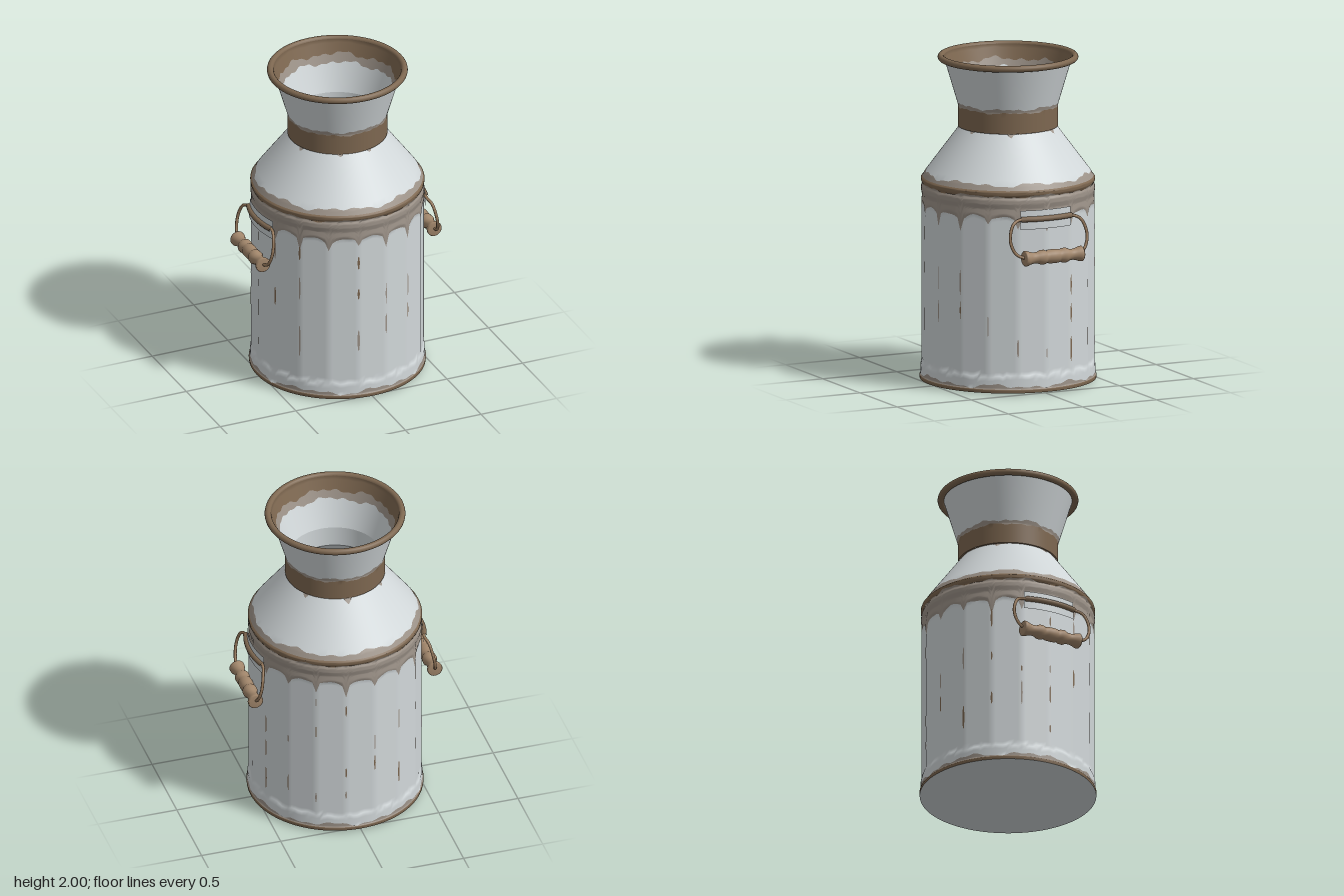
import * as THREE from 'three';
import { mergeGeometries } from 'three/addons/utils/BufferGeometryUtils.js';

const TAU = Math.PI * 2;
const FLUTE = TAU / 18;

function material(name, hex, doubleSided = false) {
  const m = new THREE.MeshStandardMaterial({ color: hex });
  m.name = name;
  if (doubleSided) m.side = THREE.DoubleSide;
  return m;
}

// Radius from a list of [height, radius] points
function profile(points) {
  return (y) => {
    let i = 1;
    while (i < points.length - 1 && y > points[i][0]) i++;
    const [y0, r0] = points[i - 1], [y1, r1] = points[i];
    const t = Math.min(1, Math.max(0, (y - y0) / (y1 - y0)));
    return r0 + (r1 - r0) * t;
  };
}

const outer = profile([
  [0.012, 0.533], [0.03, 0.535], [0.038, 0.528], [0.1, 0.527], [0.125, 0.523], [1.1, 0.523],
  [1.14, 0.518], [1.17, 0.525], [1.195, 0.524], [1.21, 0.516], [1.225, 0.525], [1.243, 0.526],
  [1.252, 0.516], [1.28, 0.5], [1.558, 0.293], [1.56, 0.302], [1.69, 0.302], [1.98, 0.388],
]);
const inner = profile([
  [0.04, 0.505], [1.24, 0.505], [1.55, 0.277], [1.68, 0.277], [1.98, 0.386],
]);

// Position across one flute: 0 on the middle, +-1 on the ridges
const fluteU = (a) => {
  const f = (a - FLUTE / 2) / FLUTE;
  return 2 * (f - Math.floor(f)) - 1;
};
const arch = (a) => 1.045 + 0.055 * Math.sqrt(Math.max(0, 1 - fluteU(a) ** 2));

// Outer skin with flat flutes that end in arches
function shell(y, a) {
  const r = outer(y), u = fluteU(a);
  const mask = THREE.MathUtils.smoothstep(y, 0.1, 0.13) *
    (1 - THREE.MathUtils.smoothstep(y, arch(a) - 0.015, arch(a) + 0.015));
  const flat = r * Math.cos(FLUTE / 2) / Math.cos(u * FLUTE / 2);
  return r - (r - flat) * mask;
}

// Irregular edge for worn paint
const wave = (seed, amp) => (a) => amp * (
  0.5 * Math.sin(7 * a + seed) + 0.35 * Math.sin(13 * a + seed * 2.3) + 0.3 * Math.sin(29 * a + seed * 3.7));

// Surface of revolution between two edges that may vary with the angle
function band(radius, lo, hi, { rows = 4, cols = 144, a0 = 0, a1 = TAU, flip = false } = {}) {
  const pos = [], nor = [], idx = [];
  const point = (y, a) => new THREE.Vector3(radius(y, a) * Math.sin(a), y, radius(y, a) * Math.cos(a));
  const e = 0.002;
  for (let i = 0; i <= cols; i++) {
    const a = a0 + (a1 - a0) * i / cols;
    const y0 = lo(a), y1 = Math.max(y0, hi(a));
    for (let j = 0; j <= rows; j++) {
      const y = y0 + (y1 - y0) * j / rows;
      const yc = y1 - y0 > 2 * e ? THREE.MathUtils.clamp(y, y0 + e, y1 - e) : (y0 + y1) / 2;
      const across = point(yc, a + 0.01).sub(point(yc, a - 0.01));
      const up = point(yc + e, a).sub(point(yc - e, a));
      const n = across.cross(up).normalize().multiplyScalar(flip ? -1 : 1);
      pos.push(...point(y, a));
      nor.push(...n);
      if (i < cols && j < rows) {
        const p = i * (rows + 1) + j, q = p + rows + 1;
        if (flip) idx.push(p, q + 1, q, p, p + 1, q + 1);
        else idx.push(p, q, q + 1, p, q + 1, p + 1);
      }
    }
  }
  const g = new THREE.BufferGeometry();
  g.setAttribute('position', new THREE.Float32BufferAttribute(pos, 3));
  g.setAttribute('normal', new THREE.Float32BufferAttribute(nor, 3));
  g.setIndex(idx);
  return g;
}

export function createModel() {
  const root = new THREE.Group();
  root.name = 'milkCan';
  const white = material('paleEnamel', 0xd2d8da);
  const plateMat = material('bracketMetal', 0xcbd1d3, true);
  const taupe = material('wornTaupe', 0x9d9389);
  const brown = material('rustBrown', 0x7d6750);
  const wood = material('handleWood', 0xa0856a);
  const wire = material('wireBrown', 0x977a5d);
  const add = (name, geo, mat, parent = root) => {
    const m = new THREE.Mesh(geo, mat);
    m.name = name;
    parent.add(m);
    return m;
  };
  const at = (y) => () => y;
  const edge = (y, seed, amp) => { const w = wave(seed, amp); return (a) => y + w(a); };

  // Outer skin, stacked from the base to the mouth
  const e1 = edge(0.052, 1, 0.018);
  const w2 = wave(2, 0.012);
  const e2 = (a) => arch(a) - 0.005 - 0.05 * Math.max(0, Math.abs(fluteU(a)) - 0.8) * 5 * (0.5 + 0.5 * Math.sin(5 * a)) + w2(a);
  const e3 = edge(1.216, 3, 0.012);
  const e4 = edge(1.283, 4, 0.014);
  const e5 = (a) => 1.558 - Math.max(0, wave(5, 0.045)(a) - 0.018);
  const e6 = edge(1.685, 6, 0.008);
  const e7 = edge(1.708, 7, 0.01);
  const skins = [
    ['baseRing', brown, at(0.012), at(0.034), 4],
    ['baseWear', taupe, at(0.034), e1, 3],
    ['flutedBody', white, e1, e2, 44],
    ['bodyTopWear', taupe, e2, e3, 16],
    ['shoulderRing', brown, e3, at(1.252), 8],
    ['shoulderWear', taupe, at(1.252), e4, 4],
    ['shoulder', white, e4, e5, 8],
    ['shoulderDrips', taupe, e5, at(1.558), 2],
    ['neckBand', brown, at(1.56), e6, 4],
    ['neckWear', taupe, e6, e7, 4],
    ['funnel', white, e7, at(1.98), 8],
  ];
  for (const [name, mat, lo, hi, rows] of skins) add(name, band(shell, lo, hi, { rows }), mat);

  // Lower edge of the neck band
  const ledge = add('neckLedge', new THREE.RingGeometry(0.285, 0.302, 72), brown);
  ledge.rotation.x = Math.PI / 2;
  ledge.position.y = 1.56;

  // Inside of the mouth and can
  const i1 = edge(1.9, 8, 0.018), i2 = edge(1.85, 9, 0.016);
  add('mouthRust', band(inner, i1, at(1.985), { flip: true }), brown);
  add('mouthWear', band(inner, i2, i1, { flip: true }), taupe);
  add('innerWall', band(inner, at(1.68), i2, { flip: true }), white);
  add('innerNeck', band(inner, at(1.55), at(1.68), { flip: true }), white);
  add('innerShoulder', band(inner, at(1.24), at(1.55), { flip: true }), white);
  add('innerBody', band(inner, at(0.04), at(1.24), { flip: true }), white);
  const floor = add('innerFloor', new THREE.CircleGeometry(0.51, 72), white);
  floor.rotation.x = -Math.PI / 2;
  floor.position.y = 0.04;

  // Rolled rim and slightly bulged underside
  const rim = add('rim', new THREE.TorusGeometry(0.405, 0.02, 14, 96), brown);
  rim.rotation.x = Math.PI / 2;
  rim.position.y = 1.98;
  add('underside', new THREE.LatheGeometry([[0, 0], [0.18, 0], [0.533, 0.012]].map((p) => new THREE.Vector2(...p)), 96), white);

  // Worn streaks along the flute ridges
  let seed = 17;
  const rand = () => (seed = (seed * 16807) % 2147483647) / 2147483647;
  const streaks = [[], []];
  for (let k = 0; k < 18; k++) {
    const a = FLUTE * (k + 0.5);
    for (const centre of [0.3, 0.45, 0.68, 0.92]) {
      const y = centre + (rand() - 0.5) * 0.12, h = 0.02 + 0.06 * rand(), w = 0.007 + 0.008 * rand();
      const tint = rand() < 0.4 ? 1 : 0;
      if (rand() < 0.4) continue;
      const half = (b) => h * Math.sqrt(Math.max(0, 1 - ((b - a) / w) ** 2));
      streaks[tint].push(band((yy, b) => shell(yy, b) + 0.002, (b) => y - half(b), (b) => y + half(b),
        { rows: 4, cols: 8, a0: a - w, a1: a + w }));
    }
  }
  add('taupeStreaks', mergeGeometries(streaks[0]), taupe);
  add('brownStreaks', mergeGeometries(streaks[1]), brown);

  // Swinging handles on both sides
  const gripHalf = [[0, 0.043], [0.03, 0.042], [0.045, 0.036], [0.06, 0.044], [0.085, 0.045], [0.105, 0.035],
    [0.13, 0.033], [0.155, 0.038], [0.175, 0.046], [0.19, 0.047], [0.196, 0.042], [0.196, 0.0]];
  const gripPoints = [...gripHalf.slice(1).reverse().map(([y, r]) => [-y, r]), ...gripHalf]
    .map(([y, r]) => new THREE.Vector2(r, y));
  for (const s of [1, -1]) {
    const handle = new THREE.Group();
    handle.name = s > 0 ? 'leftHandle' : 'rightHandle';
    root.add(handle);
    const V = (x, y, z) => new THREE.Vector3(x * s, y, z);
    const arc = [-0.32, -0.16, 0, 0.16, 0.32].map((t) => V(0.538 * Math.cos(t), 1.08, 0.538 * Math.sin(t)));

    add('bracketPlate', new THREE.CylinderGeometry(0.529, 0.537, 0.115, 20, 1, true, s * Math.PI / 2 - 0.325, 0.65),
      plateMat, handle).position.y = 1.075;
    add('bracketSleeve', new THREE.TubeGeometry(new THREE.CatmullRomCurve3(arc), 20, 0.017, 10), brown, handle);
    const loop = new THREE.CatmullRomCurve3([...arc,
      V(0.525, 1.055, 0.228), V(0.545, 0.96, 0.257), V(0.56, 0.88, 0.225), V(0.567, 0.852, 0.16),
      V(0.567, 0.85, -0.02),
      V(0.567, 0.852, -0.19), V(0.56, 0.88, -0.235), V(0.545, 0.96, -0.26), V(0.525, 1.055, -0.228),
    ], true, 'centripetal');
    add('wireLoop', new THREE.TubeGeometry(loop, 90, 0.0095, 8, true), wire, handle);
    const grip = add('grip', new THREE.LatheGeometry(gripPoints, 24), wood, handle);
    grip.rotation.x = Math.PI / 2;
    grip.position.set(0.567 * s, 0.85, -0.02);
  }
  return root;
}
